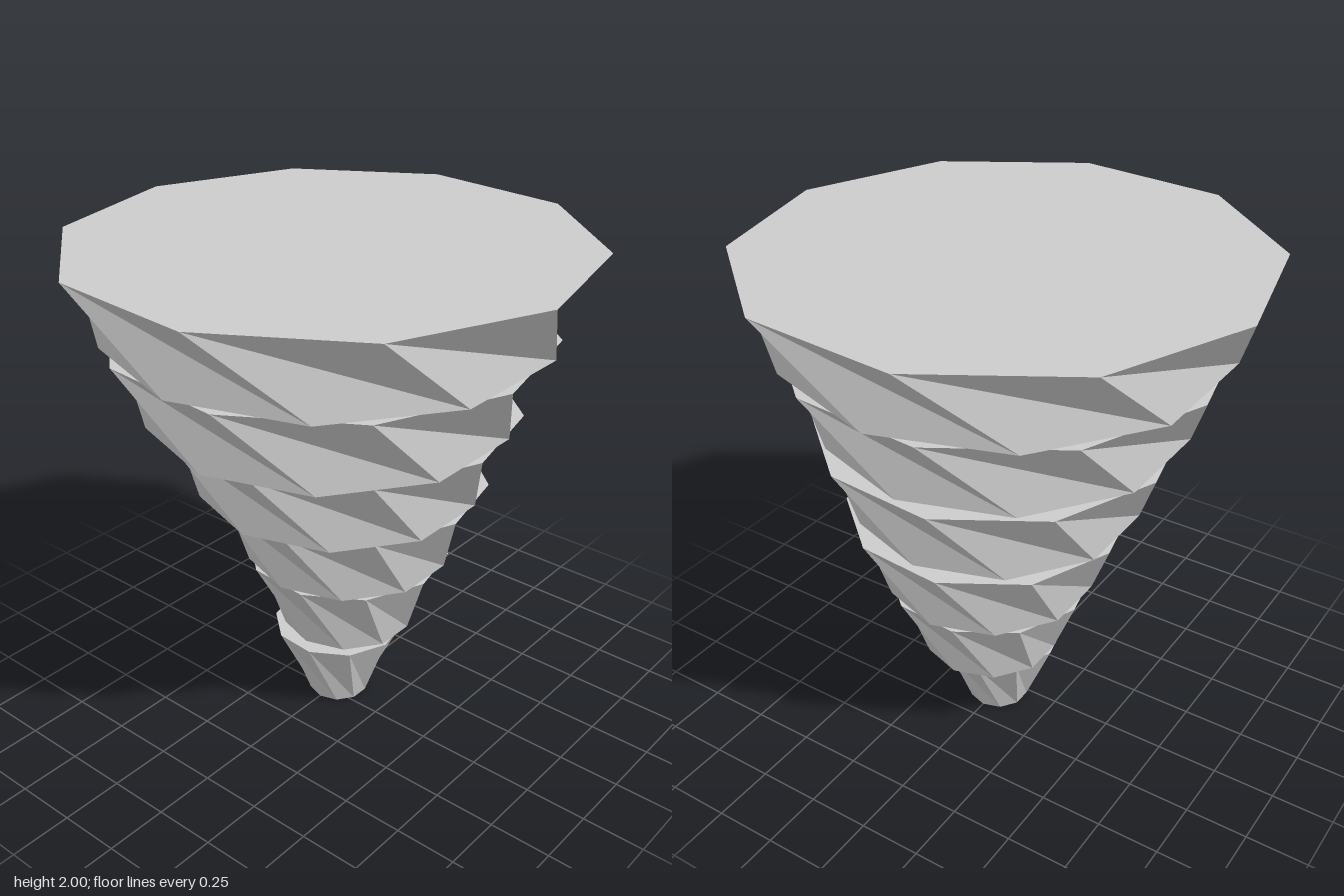
import * as THREE from 'three';

const TIERS = 6;
const SIDES = 10;
const HEIGHT = 2 / TIERS;
const TWIST = 0.4 + (Math.PI * 2) / SIDES; // turn of each tier's top ring against its bottom ring

// Cone radius at ring i, from the narrow foot (0) to the wide top (TIERS)
const ringRadius = (i) => 0.123 + (0.876 * i) / TIERS;

// Flared ten-sided frustum whose top ring is twisted, creasing each side into two triangles
function twistedTier(bottom, top) {
  const geometry = new THREE.CylinderGeometry(top, bottom, HEIGHT, SIDES, 1, false, Math.PI / 2);
  const p = geometry.attributes.position;
  const c = Math.cos(TWIST), s = Math.sin(TWIST);
  for (let i = 0; i < p.count; i++) {
    if (p.getY(i) <= 0) continue;
    const x = p.getX(i), z = p.getZ(i);
    p.setX(i, x * c - z * s);
    p.setZ(i, x * s + z * c);
  }
  const flat = geometry.toNonIndexed();
  flat.computeVertexNormals();
  return flat;
}

export function createModel() {
  const group = new THREE.Group();
  group.name = 'twistedCone';
  const material = new THREE.MeshStandardMaterial({ color: 0xcccccc, flatShading: true });

  // Stacked tiers, swaying sideways along one sine wave
  for (let i = 0; i < TIERS; i++) {
    const tier = new THREE.Mesh(twistedTier(ringRadius(i), ringRadius(i + 1)), material);
    tier.name = `tier${i + 1}`;
    const sway = 0.0575 + 0.0664 * Math.sin((i / TIERS) * Math.PI * 2);
    tier.position.set(sway, (i + 0.5) * HEIGHT, 0);
    group.add(tier);
  }
  return group;
}
